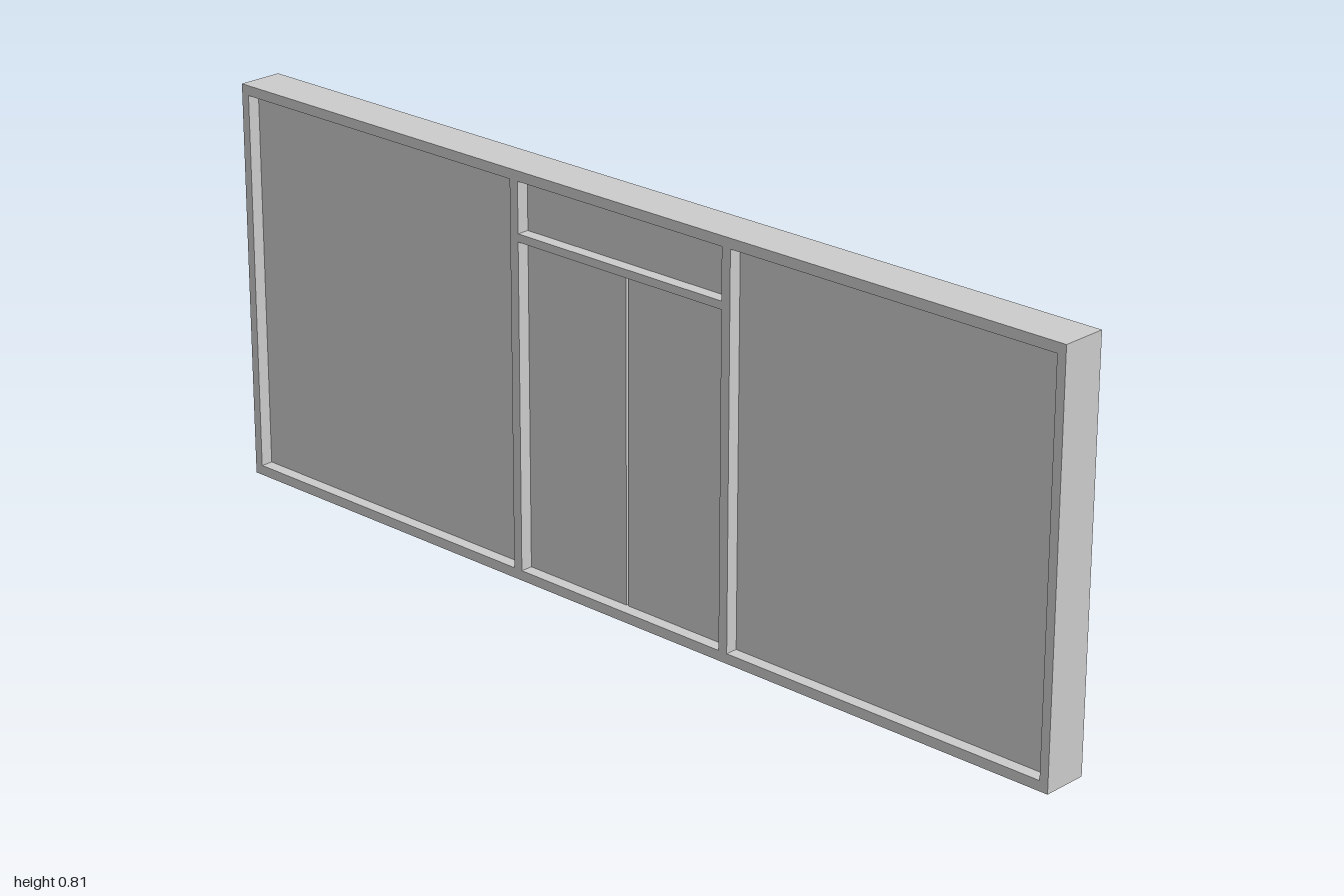
import * as THREE from 'three';

const H = 0.807, DEPTH = 0.092, PANE_DEPTH = 0.042;

// Openings: name, x0, x1, y0, y1
const OPENINGS = [
  ['rightWindow', -0.982, -0.27, 0.02, 0.787],
  ['leftWindow', 0.27, 0.982, 0.02, 0.787],
  ['transomWindow', -0.25, 0.25, 0.687, 0.787],
  ['doorway', -0.25, 0.25, 0.02, 0.671],
];
const DOOR_GAP = 0.006;

function rectangle(Type, x0, x1, y0, y1) {
  return new Type([
    new THREE.Vector2(x0, y0), new THREE.Vector2(x1, y0),
    new THREE.Vector2(x1, y1), new THREE.Vector2(x0, y1),
  ]);
}

export function createModel() {
  const group = new THREE.Group();
  group.name = 'shopfront';
  const material = new THREE.MeshStandardMaterial({ color: 0xcccccc });

  const add = (name, geometry) => {
    const mesh = new THREE.Mesh(geometry, material);
    mesh.name = name;
    group.add(mesh);
    return mesh;
  };
  const addPanel = (name, x0, x1, y0, y1) =>
    add(name, new THREE.BoxGeometry(x1 - x0, y1 - y0, PANE_DEPTH))
      .position.set((x0 + x1) / 2, (y0 + y1) / 2, 0);

  // Outer frame with mullions and transom bar
  const outline = rectangle(THREE.Shape, -1, 1, 0, H);
  for (const [, ...r] of OPENINGS) outline.holes.push(rectangle(THREE.Path, ...r));
  const frame = new THREE.ExtrudeGeometry(outline, { depth: DEPTH, bevelEnabled: false });
  frame.translate(0, 0, -DEPTH / 2);
  add('frame', frame);

  // Recessed panes, and two door leaves with a narrow gap between them
  for (const [name, x0, x1, y0, y1] of OPENINGS) {
    if (name === 'doorway') {
      addPanel('rightDoor', x0, -DOOR_GAP / 2, y0, y1);
      addPanel('leftDoor', DOOR_GAP / 2, x1, y0, y1);
    } else {
      addPanel(name, x0, x1, y0, y1);
    }
  }
  return group;
}
